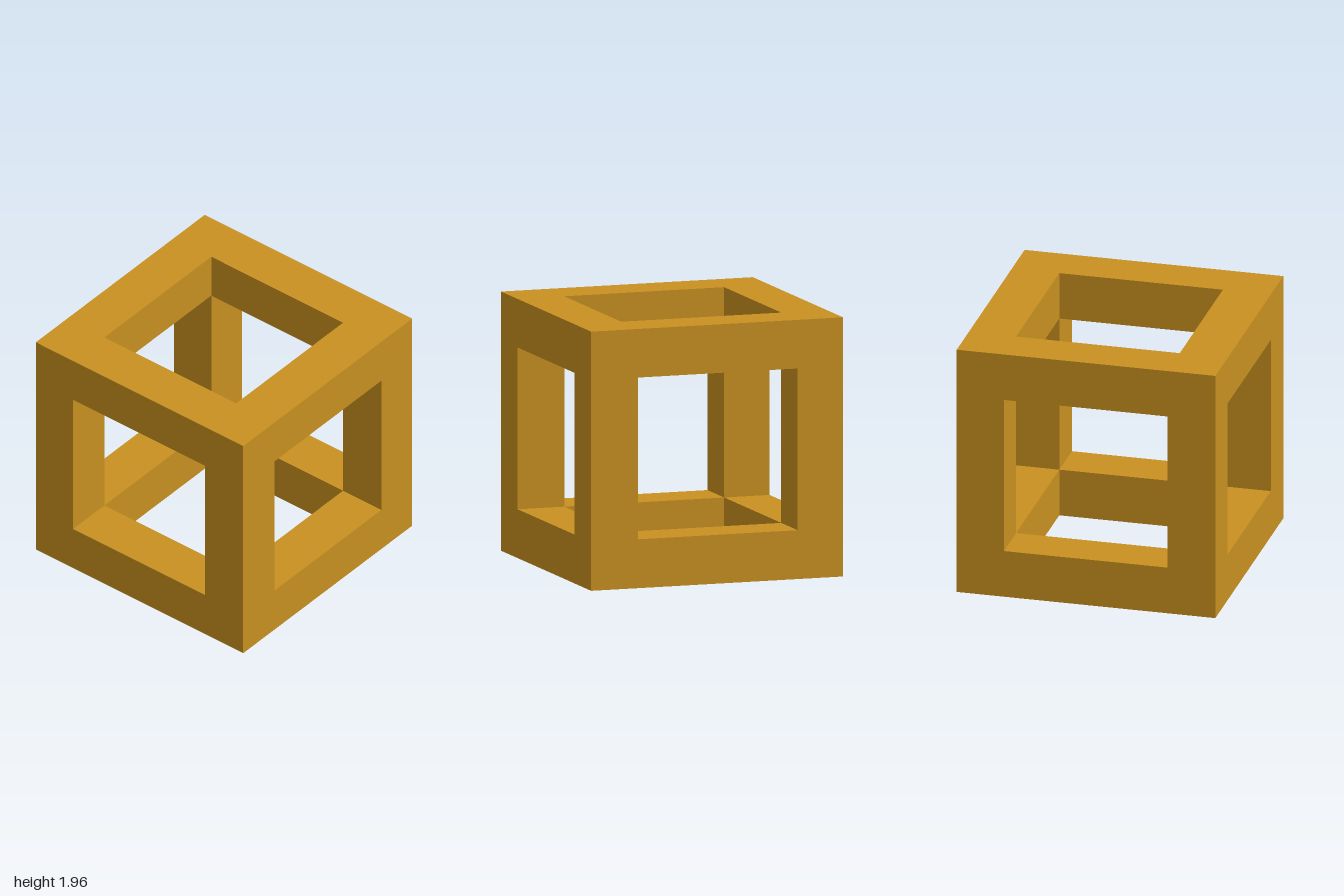
import * as THREE from 'three';

// Grid lines that divide the cube into corners, beams and openings
const GRID = [
  [-1, -0.64, 0.63, 1],
  [0, 0.37, 1.595, 1.963],
  [-1, -0.635, 0.63, 1],
];

// A cell is solid unless it lies in a face opening or the hollow core
const isSolid = (cell) =>
  cell.every((i) => i >= 0 && i <= 2) && cell.filter((i) => i === 1).length <= 1;

// Box for one cell, keeping only the sides that are exposed
function cellGeometry(cell) {
  const size = cell.map((i, axis) => GRID[axis][i + 1] - GRID[axis][i]);
  const centre = cell.map((i, axis) => (GRID[axis][i + 1] + GRID[axis][i]) / 2);
  const geometry = new THREE.BoxGeometry(...size).translate(...centre);
  const all = Array.from(geometry.index.array);
  const kept = [];
  for (let side = 0; side < 6; side++) { // +x, -x, +y, -y, +z, -z
    const neighbour = [...cell];
    neighbour[side >> 1] += side % 2 ? -1 : 1;
    if (!isSolid(neighbour)) kept.push(...all.slice(side * 6, side * 6 + 6));
  }
  geometry.setIndex(kept);
  geometry.clearGroups();
  return geometry;
}

export function createModel() {
  const model = new THREE.Group();
  model.name = 'cubeFrame';
  const amber = new THREE.MeshStandardMaterial({ color: 0xc89020 });
  amber.name = 'amber';

  // Eight corner blocks joined by four posts, four cross rails and four side rails
  const beamNames = ['crossRail', 'post', 'sideRail'];
  for (let x = 0; x < 3; x++) {
    for (let y = 0; y < 3; y++) {
      for (let z = 0; z < 3; z++) {
        const cell = [x, y, z];
        if (!isSolid(cell)) continue;
        const part = new THREE.Mesh(cellGeometry(cell), amber);
        const place =
          ['Bottom', '', 'Top'][y] + ['Back', '', 'Front'][z] + ['Right', '', 'Left'][x];
        part.name = (beamNames[cell.indexOf(1)] ?? 'cornerBlock') + place;
        model.add(part);
      }
    }
  }
  return model;
}
